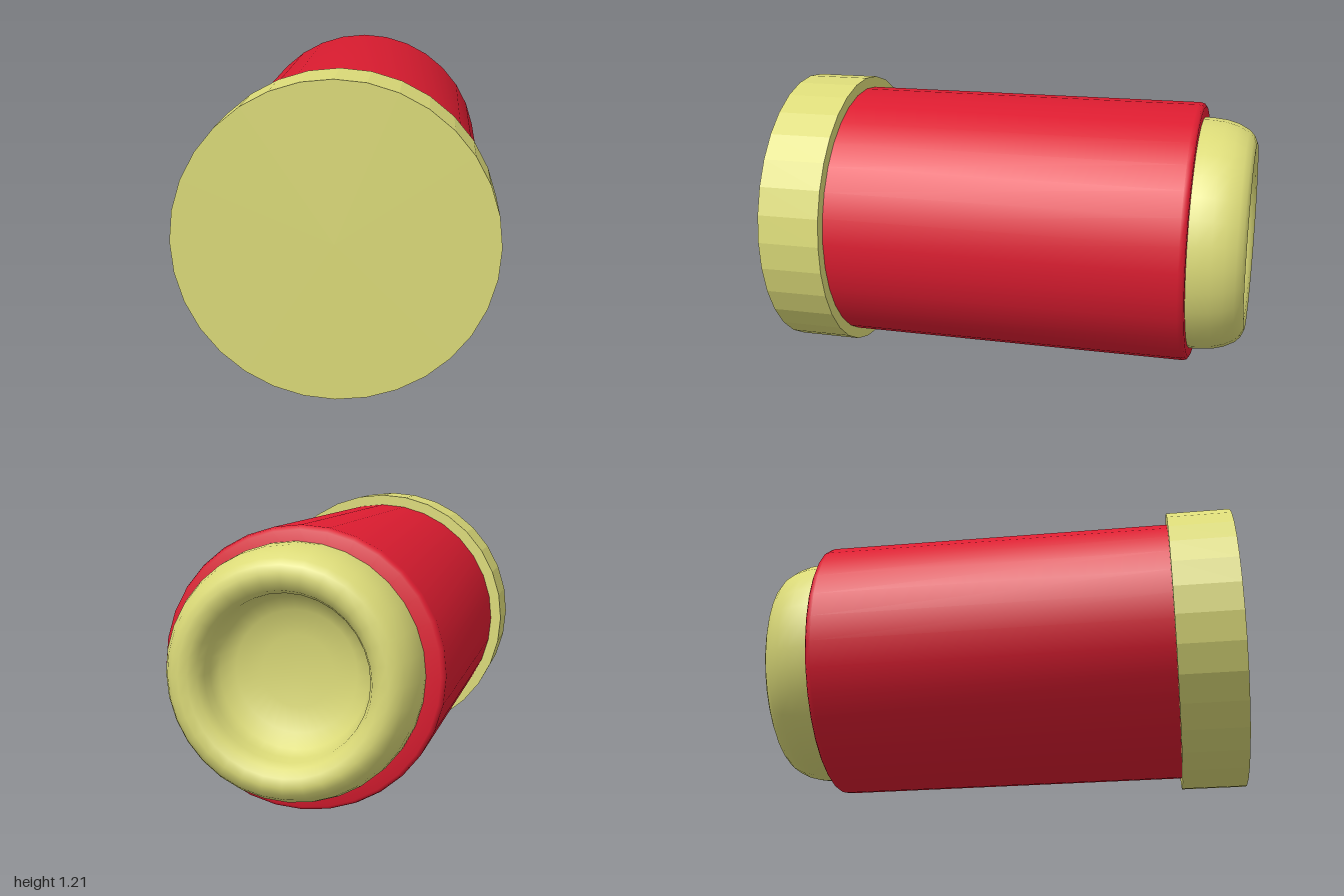
import * as THREE from 'three';
import { toCreasedNormals } from 'three/addons/utils/BufferGeometryUtils.js';

const SIDES = 32;
const AXIS_Y = 0.605;

const brass = new THREE.MeshStandardMaterial({ color: 0xdbda78 });
const brassFlat = new THREE.MeshStandardMaterial({ color: 0xdbda78, flatShading: true });
const red = new THREE.MeshStandardMaterial({ color: 0xdc1c30 });

// Mesh whose own y axis is laid along +z, on the shared centre line
function axialMesh(name, geometry, material, x = 0) {
  geometry.rotateX(Math.PI / 2);
  const mesh = new THREE.Mesh(geometry, material);
  mesh.name = name;
  mesh.position.set(x, AXIS_Y, 0);
  return mesh;
}

// Lathe from [radius, z] pairs, running from the back centre outward and forward
function turned(points, crease) {
  const profile = points.map(([r, z]) => new THREE.Vector2(r, z));
  return toCreasedNormals(new THREE.LatheGeometry(profile, SIDES), crease);
}

export function createModel() {
  const group = new THREE.Group();
  group.name = 'cartridge';

  // Wide faceted disc closing the front end
  const base = new THREE.CylinderGeometry(AXIS_Y, AXIS_Y, 0.27, SIDES);
  base.translate(0, 0.865, 0);
  group.add(axialMesh('baseCap', base, brassFlat));

  // Smooth tube with a small rounded edge at the back
  const tube = [[0, -0.7], [0.4, -0.7], [0.4, -0.775], [0.54, -0.775], [0.552, -0.768], [0.557, -0.75], [0.557, 0.74], [0, 0.74]];
  group.add(axialMesh('tube', turned(tube, 0.9), red));

  // Rounded lip around a hollow bowl, set very slightly off centre
  const lip = [
    [0, -0.77], [0.14, -0.775], [0.24, -0.795], [0.295, -0.83], [0.315, -0.88], [0.32, -0.93],
    [0.335, -0.97], [0.365, -0.993], [0.4, -1], [0.43, -0.987], [0.453, -0.965],
    [0.477, -0.92], [0.491, -0.87], [0.497, -0.81], [0.497, -0.72],
  ];
  group.add(axialMesh('hollowTip', turned(lip, 1.2), brass, 0.013));

  return group;
}
